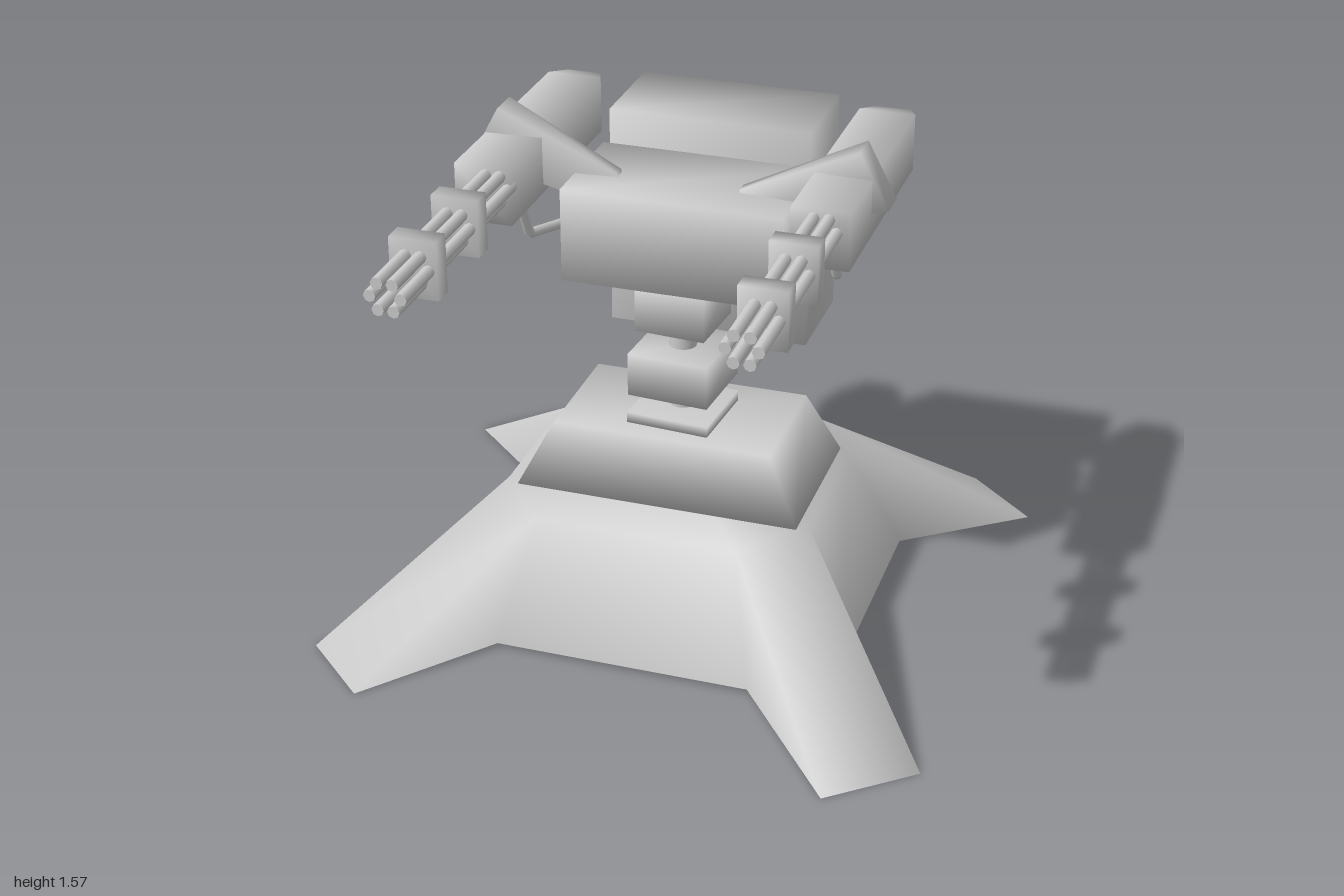
import * as THREE from 'three';
import { mergeVertices } from 'three/addons/utils/BufferGeometryUtils.js';

const material = new THREE.MeshStandardMaterial({ color: 0xcccccc });
const openMaterial = new THREE.MeshStandardMaterial({ color: 0xcccccc, side: THREE.DoubleSide });

// Share corner vertices so the shading runs softly over the edges.
function soften(geometry) {
  geometry.deleteAttribute('normal');
  geometry.deleteAttribute('uv');
  const merged = mergeVertices(geometry, 1e-4);
  merged.computeVertexNormals();
  return merged;
}

function add(parent, name, geometry, mat = material) {
  const mesh = new THREE.Mesh(geometry, mat);
  mesh.name = name;
  parent.add(mesh);
  return mesh;
}

// Soft block; the optional rule moves each vertex of the centred box.
function block(parent, name, size, position, rule, depthSegments = 1) {
  const geometry = new THREE.BoxGeometry(...size, 1, 1, depthSegments);
  if (rule) {
    const p = geometry.attributes.position;
    const v = new THREE.Vector3();
    for (let i = 0; i < p.count; i++) {
      rule(v.fromBufferAttribute(p, i));
      p.setXYZ(i, v.x, v.y, v.z);
    }
  }
  const mesh = add(parent, name, soften(geometry));
  mesh.position.set(...position);
  return mesh;
}

// Hollow octagonal skirt whose chamfered corners run out into four legs.
function baseGeometry() {
  const cx = -0.025, cz = -0.113;
  const corners = [ // side signs, then the tip corner nearest z and nearest x
    [1, 1, [0.72, 0.9], [0.96, 0.7]],
    [1, -1, [0.76, -1], [0.98, -0.8]],
    [-1, -1, [-0.77, -1], [-0.98, -0.8]],
    [-1, 1, [-0.74, 0.84], [-0.96, 0.64]],
  ];
  const top = [], bottom = [];
  for (const [sx, sz, tipZ, tipX] of corners) {
    const at = (x, y, z) => [cx + sx * x, y, cz + sz * z];
    const t = [at(0.315, 0.4, 0.44), at(0.485, 0.4, 0.235)];
    const b = [at(0.4, 0.015, 0.585), at(0.635, 0.015, 0.385)];
    const tips = [tipZ, tipX].map(([x, z]) => [x, 0.003, z]);
    if (sx * sz < 0) [t, b, tips].forEach((pair) => pair.reverse());
    top.push(t[0], t[0], t[1], t[1]);
    bottom.push(b[0], tips[0], tips[1], b[1]);
  }
  const n = top.length, index = [];
  for (let i = 0; i < n; i++) {
    const j = (i + 1) % n;
    index.push(n + i, n + j, j, n + i, j, i); // wall
    index.push(2 * n, i, j); // top plate
  }
  const geometry = new THREE.BufferGeometry();
  const points = [...top, ...bottom, [cx, 0.4, cz]].flat();
  geometry.setAttribute('position', new THREE.Float32BufferAttribute(points, 3));
  geometry.setIndex(index);
  return soften(geometry);
}

// One gun with its arm and rod, built on the +x side of the centre line.
function gun(name, barrelX) {
  const group = new THREE.Group();
  group.name = name;

  // housing with a tapered rear end
  block(group, 'gunHousing', [0.175, 0.178, 0.865], [0.507, 1.405, -0.2025], (v) => {
    if (v.z < -0.4) { v.x *= 0.62; v.y *= 0.78; }
    else if (Math.abs(v.z) < 0.1) v.z = -0.345;
  }, 2);

  // ring of six barrels held by two clamps
  for (let i = 0; i < 6; i++) {
    const a = i * Math.PI / 3;
    const barrel = add(group, 'barrel', new THREE.CylinderGeometry(0.018, 0.018, 0.8, 8));
    barrel.rotation.x = Math.PI / 2;
    barrel.position.set(barrelX + 0.045 * Math.cos(a), 1.43 + 0.045 * Math.sin(a), 0.6);
  }
  for (const z of [0.485, 0.778])
    block(group, 'barrelClamp', [0.14, 0.175, 0.065], [barrelX, 1.43, z]);

  // arm tapering inwards to the front body
  block(group, 'gunArm', [1, 1, 0.1], [0, 0, -0.065], (v) => {
    const outer = v.x > 0, upper = v.y > 0;
    if (outer) v.set(upper ? 0.555 : 0.645, upper ? 1.575 : 1.405, v.z);
    else v.set(0.19, upper ? 1.4 : 1.28, v.z * 0.4);
  });

  // bent rod to the rear body
  const points = [[0.485, 1.345, 0.03], [0.485, 1.155, -0.07], [0.375, 1.08, -0.485], [0.3, 1.08, -0.485]]
    .map((p) => new THREE.Vector3(...p));
  const path = new THREE.CurvePath();
  for (let i = 0; i < 3; i++) path.add(new THREE.LineCurve3(points[i], points[i + 1]));
  add(group, 'supportRod', new THREE.TubeGeometry(path, 32, 0.016, 8), openMaterial);
  block(group, 'rodMount', [0.025, 0.06, 0.055], [0.337, 1.085, -0.485]);

  group.position.x = -0.01;
  return group;
}

export function createModel() {
  const model = new THREE.Group();
  model.name = 'turret';

  // base
  add(model, 'leggedBase', baseGeometry(), openMaterial);
  block(model, 'upperBase', [0.9, 0.205, 0.53], [-0.02, 0.5025, -0.11], (v) => {
    if (v.y > 0) { v.x *= 0.772; v.z *= 0.774; }
  });

  // neck: a shaft through three slightly turned blocks
  const neck = new THREE.Group();
  neck.name = 'neck';
  neck.position.set(-0.01, 0, -0.097);
  neck.rotation.y = -0.077;
  model.add(neck);
  block(neck, 'collar', [0.265, 0.035, 0.265], [0, 0.622, 0]);
  block(neck, 'lowerJoint', [0.26, 0.14, 0.26], [0, 0.77, 0]);
  block(neck, 'upperJoint', [0.225, 0.145, 0.225], [0, 0.988, 0]);
  add(neck, 'shaft', new THREE.CylinderGeometry(0.044, 0.044, 0.52, 12)).position.y = 0.85;

  // bodies
  block(model, 'frontBody', [0.685, 0.295, 0.385], [0.012, 1.243, -0.0975]);
  block(model, 'rearBody', [0.638, 0.71, 0.333], [0.004, 1.14, -0.4725]);

  // guns
  const left = gun('leftGun', 0.51);
  const right = gun('rightGun', 0.475);
  right.scale.x = -1;
  model.add(left, right);
  return model;
}
